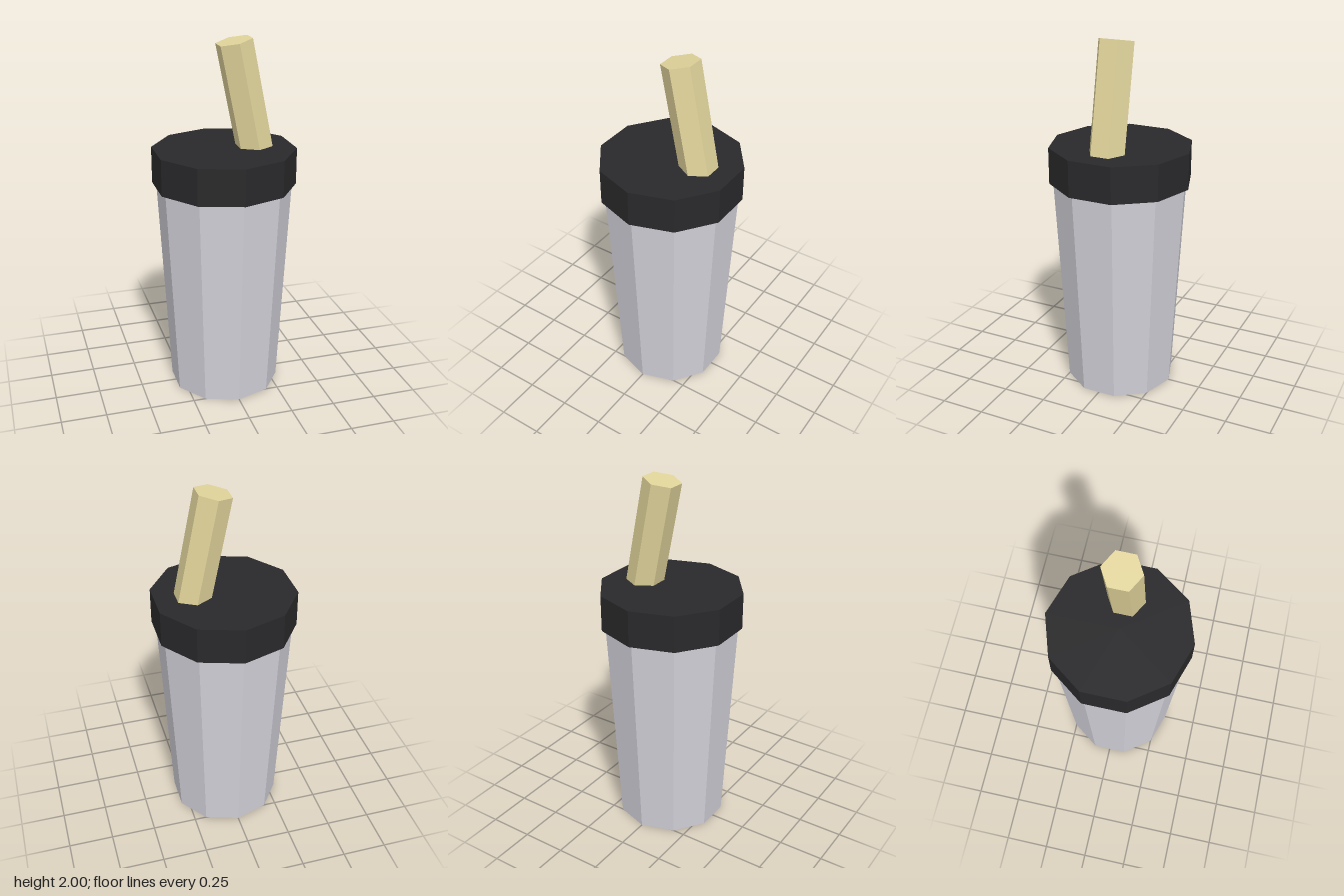
import * as THREE from 'three';

// Faceted cylinder standing between two heights, with a corner facing +z
function prism(name, color, rTop, rBottom, y0, y1, sides) {
  const geometry = new THREE.CylinderGeometry(rTop, rBottom, y1 - y0, sides);
  geometry.translate(0, (y0 + y1) / 2, 0);
  const material = new THREE.MeshStandardMaterial({ color, flatShading: true });
  const mesh = new THREE.Mesh(geometry, material);
  mesh.name = name;
  return mesh;
}

export function createModel() {
  const group = new THREE.Group();
  group.name = 'drinkCup';

  // Tapered ten-sided cup and its overhanging lid
  group.add(prism('cup', 0xd2d1d9, 0.375, 0.31, 0, 1.205, 10));
  group.add(prism('lid', 0x29292b, 0.397, 0.397, 1.205, 1.408, 10));

  // Six-sided straw, pivoted at its top centre and leaning towards -x
  const straw = prism('straw', 0xe0d39a, 0.103, 0.103, -0.7, 0, 6);
  straw.position.set(0.055, 1.983, 0);
  straw.rotation.z = 0.2;
  group.add(straw);

  return group;
}
